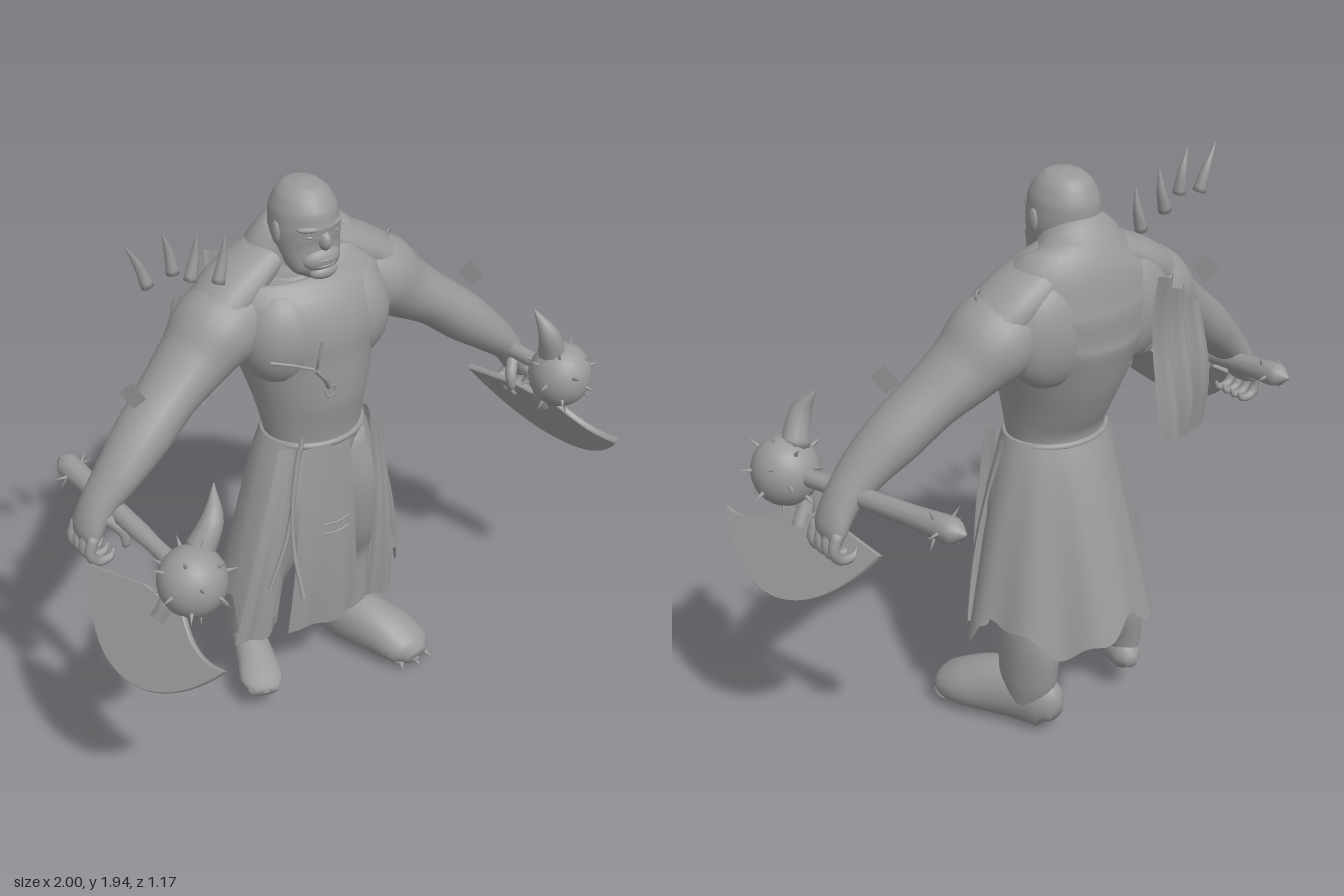
import * as THREE from 'three';

const V = (p) => new THREE.Vector3(...p);

export function createModel() {
  const model = new THREE.Group();
  const grey = new THREE.MeshStandardMaterial({ color: 0x999999, side: THREE.DoubleSide });
  grey.name = 'clay grey';

  function add(name, geometry, parent = model) {
    const mesh = new THREE.Mesh(geometry, grey);
    mesh.name = name;
    parent.add(mesh);
    return mesh;
  }
  function group(name) {
    const g = new THREE.Group();
    g.name = name;
    model.add(g);
    return g;
  }

  // Smooth body through cross-sections [x, y, z, radius across, radius along ref]
  function limb(name, sections, ref = [0, 0, 1], parent = model, sides = 20, per = 5) {
    const path = new THREE.CatmullRomCurve3(sections.map((s) => V(s)));
    const radii = new THREE.CatmullRomCurve3(sections.map((s) => new THREE.Vector3(s[3], s[4] ?? s[3], 0)));
    const rings = (sections.length - 1) * per, pos = [], index = [];
    for (let i = 0; i <= rings; i++) {
      const c = path.getPoint(i / rings), t = path.getTangent(i / rings), r = radii.getPoint(i / rings);
      const e1 = V(ref).addScaledVector(t, -V(ref).dot(t)).normalize();
      const e2 = t.clone().cross(e1);
      for (let j = 0; j < sides; j++) {
        const a = (j / sides) * Math.PI * 2;
        const p = c.clone().addScaledVector(e1, Math.cos(a) * r.y).addScaledVector(e2, Math.sin(a) * r.x);
        pos.push(p.x, p.y, p.z);
        const k = i * sides + j, n = i * sides + (j + 1) % sides;
        if (i < rings) index.push(k, n, k + sides, n, n + sides, k + sides);
      }
    }
    const start = pos.length / 3;
    pos.push(...path.getPoint(0).toArray(), ...path.getPoint(1).toArray());
    for (let j = 0; j < sides; j++) {
      const n = (j + 1) % sides, o = rings * sides;
      index.push(start, n, j, start + 1, o + j, o + n);
    }
    const g = new THREE.BufferGeometry();
    g.setAttribute('position', new THREE.Float32BufferAttribute(pos, 3));
    g.setIndex(index);
    g.computeVertexNormals();
    return add(name, g, parent);
  }

  // Cloth from a rule (u, v) -> [x, y, z]
  function sheet(name, rule, nu, nv) {
    const g = new THREE.PlaneGeometry(1, 1, nu, nv), p = g.attributes.position, uv = g.attributes.uv;
    for (let i = 0; i < p.count; i++) p.setXYZ(i, ...rule(uv.getX(i), 1 - uv.getY(i)));
    g.computeVertexNormals();
    return add(name, g);
  }
  function ball(name, c, r, parent = model) {
    const m = add(name, new THREE.SphereGeometry(1, 24, 16), parent);
    m.position.set(...c);
    m.scale.set(...r);
    return m;
  }
  function spike(name, from, to, r, parent = model) {
    const d = V(to).sub(V(from));
    const m = add(name, new THREE.ConeGeometry(r, d.length(), 8), parent);
    m.position.copy(V(from)).addScaledVector(d, 0.5);
    m.quaternion.setFromUnitVectors(new THREE.Vector3(0, 1, 0), d.normalize());
  }
  function cord(name, points, r, parent = model) {
    add(name, new THREE.TubeGeometry(new THREE.CatmullRomCurve3(points.map(V)), 12, r, 7), parent);
  }
  function ring(name, c, r, turn) {
    const m = add(name, new THREE.TorusGeometry(r, 0.004, 6, 16));
    m.position.set(...c);
    m.rotation.y = turn;
  }

  // Torso and neck
  limb('torso', [
    [0, 0.9, -0.16, 0.16, 0.14], [0, 1.07, -0.14, 0.175, 0.14], [0, 1.2, -0.15, 0.198, 0.18],
    [0, 1.35, -0.175, 0.24, 0.212], [0, 1.48, -0.195, 0.29, 0.225], [0, 1.58, -0.225, 0.3, 0.195],
    [0, 1.66, -0.235, 0.25, 0.155], [-0.01, 1.72, -0.215, 0.165, 0.125], [-0.01, 1.78, -0.17, 0.09, 0.1],
    [-0.01, 1.83, -0.16, 0.05, 0.06]], [0, 0, 1], model, 32);
  for (const s of [-1, 1]) {
    ball('chestMuscle', [s * 0.13, 1.46, -0.125], [0.145, 0.18, 0.138]);
    ball('shoulderBlade', [s * 0.15, 1.5, -0.295], [0.17, 0.19, 0.1]);
    limb('neckMuscle', [[s * 0.03, 1.74, -0.23, 0.04, 0.07], [s * 0.14, 1.68, -0.235, 0.06, 0.105],
      [s * 0.25, 1.61, -0.23, 0.075, 0.12], [s * 0.36, 1.52, -0.21, 0.08, 0.11]]);
  }
  add('belt', new THREE.TorusGeometry(0.172, 0.012, 8, 32).rotateX(Math.PI / 2).scale(1.02, 1, 0.86)).position.set(0, 1.06, -0.14);

  // Head and face
  const head = group('head');
  limb('skull', [
    [-0.01, 1.648, -0.075, 0.035, 0.025], [-0.01, 1.675, -0.09, 0.08, 0.06], [-0.01, 1.74, -0.135, 0.104, 0.108],
    [-0.01, 1.8, -0.158, 0.111, 0.125], [-0.01, 1.86, -0.163, 0.106, 0.12], [-0.01, 1.91, -0.165, 0.083, 0.095],
    [-0.01, 1.935, -0.165, 0.055, 0.065], [-0.01, 1.945, -0.165, 0.012, 0.012]], [0, 0, 1], head, 24);
  ball('browRidge', [-0.01, 1.825, -0.082], [0.085, 0.02, 0.045], head);
  ball('nose', [-0.01, 1.78, -0.052], [0.022, 0.034, 0.034], head);
  ball('muzzle', [-0.01, 1.715, -0.07], [0.07, 0.045, 0.045], head);
  ball('upperLip', [-0.01, 1.72, -0.045], [0.04, 0.008, 0.022], head);
  ball('lowerLip', [-0.01, 1.7, -0.048], [0.044, 0.008, 0.024], head);
  ball('chin', [-0.01, 1.672, -0.055], [0.05, 0.025, 0.03], head);
  for (const s of [-1, 1]) {
    ball('eye', [-0.01 + s * 0.045, 1.8, -0.06], [0.018, 0.008, 0.012], head);
    ball('ear', [-0.01 + s * 0.113, 1.8, -0.15], [0.01, 0.038, 0.02], head);
  }

  // Arms, hands and weapons
  const gear = [
    { s: -1, name: 'right', ball: [-0.76, 1.02, 0.32], butt: [-0.8, 1.075, -0.36], horn: [-0.61, 1.26, 0.22], bladeZ: 0.27 },
    { s: 1, name: 'left', ball: [0.855, 1.075, 0.14], butt: [0.72, 1.115, -0.53], horn: [0.76, 1.34, 0.09], bladeZ: 0.04 }];
  for (const { s, name, ball: c, butt, horn, bladeZ } of gear) {
    const arm = group(name + 'Arm');
    limb('armMuscles', [
      [s * 0.08, 1.53, -0.22, 0.08, 0.1], [s * 0.2, 1.53, -0.215, 0.12, 0.13], [s * 0.31, 1.495, -0.215, 0.14, 0.15], [s * 0.41, 1.42, -0.2, 0.112, 0.128],
      [s * 0.53, 1.335, -0.175, 0.09, 0.108], [s * 0.64, 1.245, -0.15, 0.088, 0.1], [s * 0.74, 1.16, -0.13, 0.072, 0.085],
      [s * 0.83, 1.07, -0.125, 0.052, 0.068], [s * 0.87, 1.0, -0.125, 0.04, 0.07], [s * 0.88, 0.96, -0.125, 0.025, 0.06]],
    [0, 0, 1], arm);
    for (let i = 0; i < 4; i++) {
      const z = -0.065 - i * 0.038;
      limb('finger', [[s * 0.88, 1.0, z, 0.018], [s * 0.9, 0.945, z, 0.019], [s * 0.875, 0.905, z, 0.017],
        [s * 0.83, 0.905, z, 0.013], [s * 0.815, 0.93, z, 0.004]], [0, 0, 1], arm, 8, 3);
    }
    limb('thumb', [[s * 0.83, 1.05, -0.08, 0.022], [s * 0.79, 1.0, -0.04, 0.02], [s * 0.79, 0.95, -0.03, 0.012]], [0, 0, 1], arm, 8, 4);

    const weapon = group(name + 'Weapon');
    const along = (t) => V(butt).lerp(V(c), t).toArray();
    limb('haft', [[...along(-0.08), 0.006], [...along(0), 0.042], [...along(0.12), 0.038], [...along(0.25), 0.034],
      [...along(0.6), 0.032], [...along(1), 0.032]], [0, 1, 0], weapon, 10, 4);
    for (let i = 0; i < 6; i++) {
      const a = i * Math.PI / 3, p = V(along(0.03 + 0.05 * (i % 2)));
      const d = new THREE.Vector3(Math.cos(a), Math.sin(a), -0.2);
      spike('buttSpike', p.clone().addScaledVector(d, 0.02).toArray(), p.addScaledVector(d, 0.08).toArray(), 0.009, weapon);
    }
    ball('maceHead', c, [0.11, 0.115, 0.11], weapon);
    for (let i = 0; i < 20; i++) {
      const y = 1 - (i + 0.5) / 10, r = Math.sqrt(1 - y * y), a = i * 2.4;
      const d = new THREE.Vector3(Math.cos(a) * r, y, Math.sin(a) * r);
      spike('maceSpike', V(c).addScaledVector(d, 0.1).toArray(), V(c).addScaledVector(d, 0.148).toArray(), 0.009, weapon);
    }
    const root = V(c).lerp(V(horn), 0.3), bend = V(c).lerp(V(horn), 0.68);
    bend.z += 0.03;
    limb('horn', [[...root.toArray(), 0.05], [...bend.toArray(), 0.036], [...horn, 0.002]], [0, 0, 1], weapon, 10);

    // Crescent axe blade, hanging outward and down, yawed toward +x at the front
    const shape = new THREE.Shape();
    shape.moveTo(-0.31, 0.02);
    shape.bezierCurveTo(-0.22, 0.2, -0.1, 0.275, 0.02, 0.275);
    shape.bezierCurveTo(0.14, 0.275, 0.24, 0.2, 0.32, 0.08);
    shape.quadraticCurveTo(0.2, 0.11, 0.1, 0.0);
    shape.lineTo(-0.08, -0.02);
    shape.closePath();
    const blade = new THREE.ExtrudeGeometry(shape, { depth: 0.012, bevelEnabled: true, bevelSize: 0.003, bevelThickness: 0.005, bevelSegments: 1, curveSegments: 14 });
    blade.translate(0, 0, -0.006);
    const down = new THREE.Vector3(s * 0.5, -0.866, 0), fore = new THREE.Vector3(0.2, 0, 0.98);
    blade.applyMatrix4(new THREE.Matrix4().makeBasis(fore, down, fore.clone().cross(down)).setPosition(s * 0.842, 0.945, bladeZ));
    add('axeBlade', blade, weapon);
    cord('bladeNeck', [c, [s * 0.83, 0.98, bladeZ + 0.04], [s * 0.865, 0.91, bladeZ + 0.02]], 0.03, weapon);
  }

  // Legs and bare feet
  const legs = [
    { name: 'left', leg: [[0.1, 1.0, -0.15, 0.1, 0.12], [0.13, 0.82, -0.14, 0.125, 0.14], [0.15, 0.62, -0.16, 0.11, 0.13],
      [0.175, 0.47, -0.205, 0.09, 0.115], [0.18, 0.34, -0.225, 0.088, 0.125], [0.18, 0.2, -0.22, 0.085, 0.115], [0.18, 0.09, -0.215, 0.07, 0.08]],
    foot: [[0.155, 0.08, -0.34, 0.03, 0.03], [0.16, 0.1, -0.3, 0.065, 0.095], [0.18, 0.12, -0.2, 0.085, 0.115],
      [0.225, 0.11, -0.09, 0.095, 0.105], [0.265, 0.09, 0.0, 0.1, 0.085], [0.28, 0.07, 0.065, 0.088, 0.065], [0.285, 0.05, 0.105, 0.04, 0.035]],
    toes: [0.285, 0.045, 0.075, 0.028] },
    { name: 'right', leg: [[-0.1, 1.0, -0.15, 0.1, 0.12], [-0.13, 0.82, -0.15, 0.125, 0.14], [-0.16, 0.62, -0.18, 0.11, 0.13],
      [-0.18, 0.45, -0.23, 0.085, 0.11], [-0.195, 0.34, -0.25, 0.075, 0.1], [-0.21, 0.24, -0.26, 0.058, 0.075], [-0.215, 0.15, -0.26, 0.05, 0.06]],
    foot: [[-0.19, 0.14, -0.34, 0.02, 0.02], [-0.2, 0.15, -0.3, 0.052, 0.058], [-0.22, 0.155, -0.23, 0.06, 0.065],
      [-0.25, 0.14, -0.14, 0.068, 0.05], [-0.28, 0.122, -0.06, 0.075, 0.034], [-0.3, 0.11, 0, 0.045, 0.02]],
    toes: [-0.295, 0.112, -0.02, 0.02] }];
  for (const { name, leg, foot, toes: [x, y, z, r] } of legs) {
    const g = group(name + 'Leg');
    limb('leg', leg, [0, 0, 1], g);
    limb('foot', foot, [0, 1, 0], g);
    for (let i = -1; i <= 1; i++) {
      ball('toe', [x + i * r * 1.8, y - 0.005, z - Math.abs(i) * 0.02], [r, r * 0.9, r * 1.2], g);
      if (name === 'left') spike('toeClaw', [x + i * 0.055, y - 0.01, z + 0.01], [x + i * 0.065, y - 0.025, z + 0.06 - Math.abs(i) * 0.025], 0.012, g);
    }
  }

  // Torn skirt: open at the front, flaring toward the back
  sheet('skirt', (u, v) => {
    const a = 0.75 + u * (Math.PI * 2 - 1.5), back = Math.max(0, -Math.cos(a));
    const tear = 0.05 * Math.sin(a * 5 + 1) + 0.02 * Math.sin(a * 13);
    const fold = 1 + 0.035 * v * Math.sin(a * 9);
    const rx = (0.185 + 0.165 * v ** 0.8) * fold, rz = (0.15 + v * 0.02 + v ** 0.85 * 0.185 * back) * fold;
    return [Math.sin(a) * rx, 1.07 - v * (0.655 + tear), -0.14 + Math.cos(a) * rz];
  }, 90, 14);

  // Front hanging strips [top left, top right, hem left, hem right, hem height, depth]
  const flaps = [[-0.19, -0.1, -0.39, -0.21, 0.33, -0.02], [-0.13, 0.06, -0.2, 0.1, 0.32, 0.025], [0.165, 0.21, 0.15, 0.27, 0.31, 0.0], [0.2, 0.21, 0.27, 0.37, 0.42, -0.09]];
  for (const [a, b, c, d, hem, z] of flaps) {
    sheet('frontStrip', (u, v) => [
      THREE.MathUtils.lerp(a + (b - a) * u, c + (d - c) * u, v) + Math.sign(c) * 0.02 * Math.sin(v * Math.PI) * Math.abs(c + d),
      1.06 + (hem - 1.06) * v + 0.012 * v * Math.sin(u * 9),
      z - 0.01 + 0.02 * Math.sin(v * 3) + 0.012 * v * Math.sin(u * 11) - 0.05 * Math.abs(u - 0.5)], 16, 12);
  }

  // Back tatters
  for (let i = 0; i < 3; i++) {
    sheet('backTatter', (u, v) => [
      -0.2 - i * 0.065 - v * 0.025 + (u - 0.5) * (0.065 + 0.045 * v), 1.63 - i * 0.06 - v * (0.56 - i * 0.05),
      -0.44 + 0.02 * Math.sin(v * 5 + i) + 0.015 * Math.cos(u * 6)], 8, 12);
  }

  // Row of shoulder horns
  for (const [x0, y0, x1, y1] of [[-0.57, 1.74, -0.635, 1.89], [-0.48, 1.755, -0.51, 1.9], [-0.42, 1.71, -0.39, 1.86], [-0.32, 1.67, -0.29, 1.82]]) {
    limb('shoulderHorn', [[x0, y0, -0.18, 0.022], [(x0 + x1) / 2 + 0.008, (y0 + y1) / 2, -0.185, 0.015], [x1, y1, -0.18, 0.002]], [0, 0, 1], model, 8);
  }

  // Small charms: diamonds, piercings, cords
  for (const x of [-0.68, 0.65]) {
    sheet('diamondCharm', (u, v) => [x + (u - v) * 0.025, 1.42 + (u + v - 1) * 0.048, -0.12 + (u - v) * 0.04], 1, 1);
  }
  ring('piercing', [0.35, 1.635, -0.19], 0.014, 0.5);
  ring('piercing', [0.425, 1.51, -0.24], 0.014, 1);
  ring('piercing', [0.415, 1.53, -0.14], 0.014, 1);
  ring('pendantRing', [-0.06, 1.3, 0.055], 0.02, 0);
  cord('chestPin', [[-0.135, 1.43, 0.09], [-0.14, 1.47, 0.105], [-0.13, 1.53, 0.11]], 0.005);
  cord('chestCord', [[-0.27, 1.465, 0.03], [-0.2, 1.445, 0.06], [-0.14, 1.42, 0.08]], 0.005);
  cord('pendantCord', [[-0.14, 1.42, 0.085], [-0.1, 1.37, 0.08], [-0.07, 1.32, 0.06]], 0.008);
  cord('hipCord', [[-0.15, 1.13, 0.02], [-0.19, 1.0, 0.04], [-0.24, 0.8, 0.06], [-0.32, 0.62, 0.07]], 0.008);
  cord('hipCord', [[-0.17, 1.1, 0.03], [-0.21, 0.93, 0.05], [-0.23, 0.76, 0.08], [-0.24, 0.6, 0.15]], 0.008);
  for (const y of [0.73, 0.77]) cord('stitch', [[-0.08, y, 0.045], [-0.03, y - 0.005, 0.05], [0.02, y, 0.045]], 0.004);

  return model;
}
